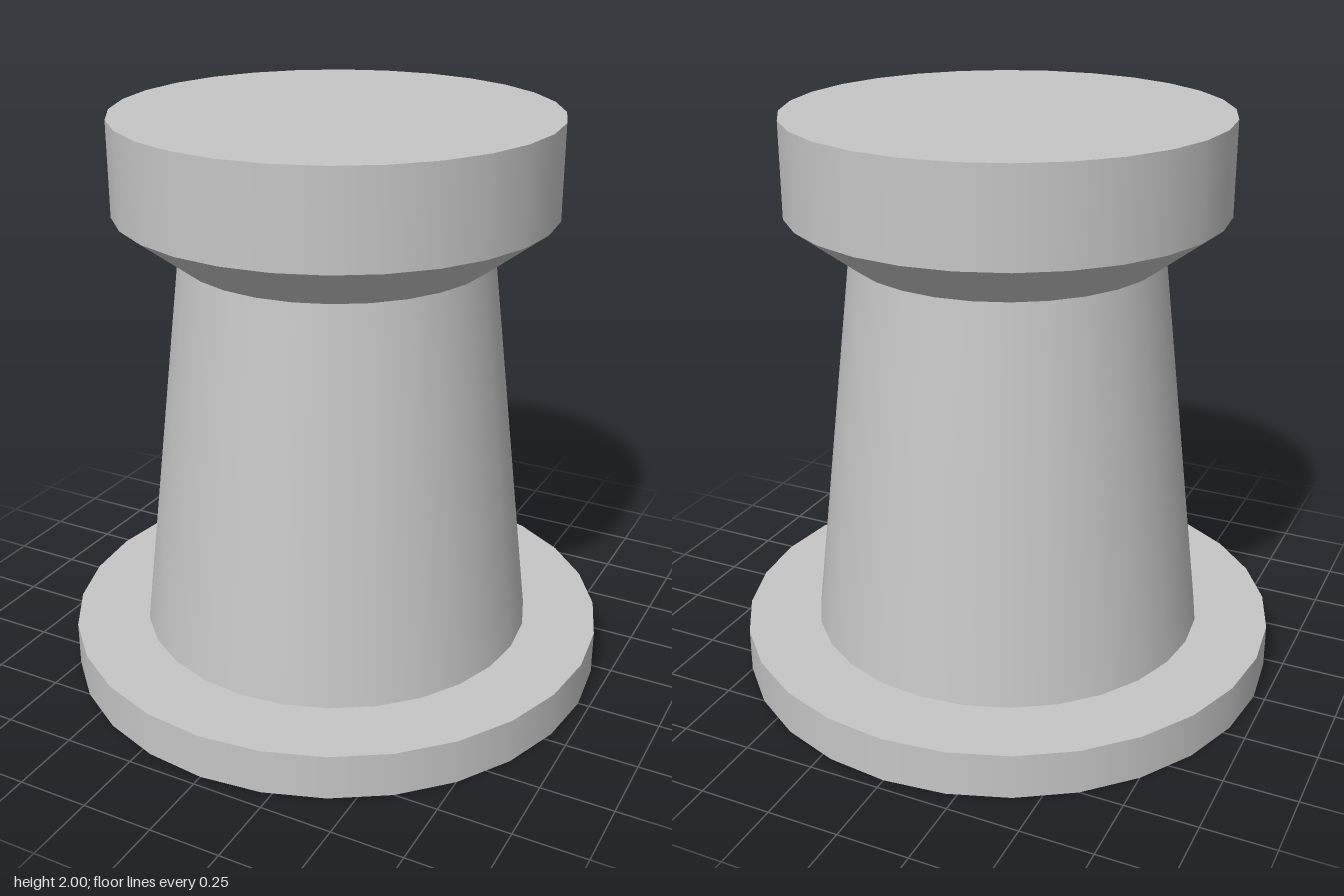
import * as THREE from 'three';

const SIDES = 28;

export function createModel() {
  const model = new THREE.Group();
  model.name = 'turret';
  const stone = new THREE.MeshStandardMaterial({ color: 0xc6c6c6 });
  stone.name = 'light grey';

  // One round section between two heights; open ones have no end caps
  function section(name, bottomRadius, topRadius, bottom, top, open = false) {
    const geometry = new THREE.CylinderGeometry(topRadius, bottomRadius, top - bottom, SIDES, 1, open);
    const mesh = new THREE.Mesh(geometry, stone);
    mesh.name = name;
    mesh.position.y = (bottom + top) / 2;
    model.add(mesh);
  }

  section('base', 0.96, 0.96, 0, 0.16);
  section('taperedBody', 0.7, 0.54, 0.16, 1.52, true);
  section('flaredCollar', 0.54, 0.75, 1.52, 1.68, true);
  section('head', 0.75, 0.75, 1.68, 2);

  return model;
}
